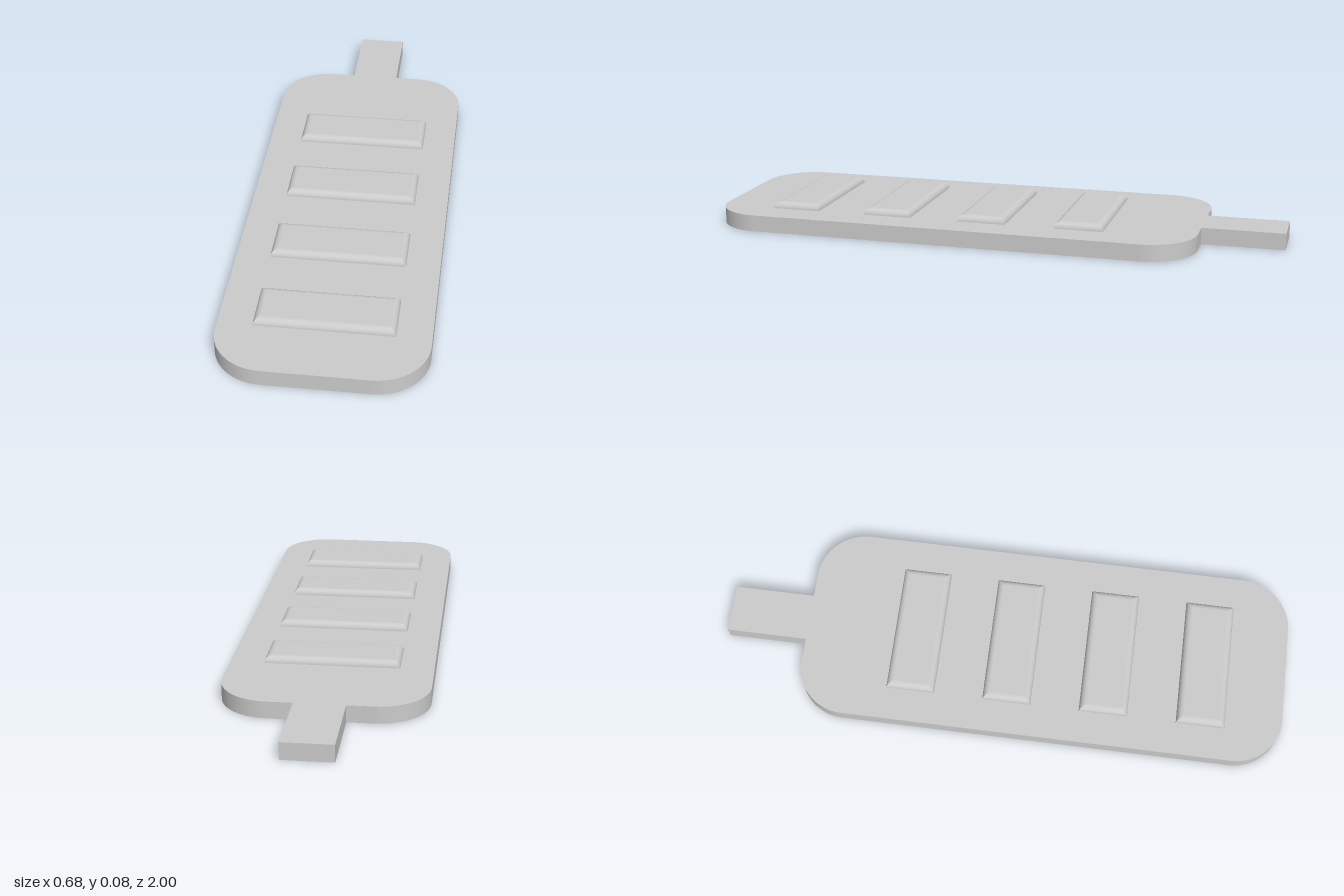
import * as THREE from 'three';

const THICK = 0.058; // plate thickness
const material = new THREE.MeshStandardMaterial({ color: 0xcccccc });

// Rounded plate and its narrow rear tab as one outline (shape y = -z)
function plateGeometry() {
  const w = 0.342, r = 0.171, front = -1, back = 0.715, tab = 0.084;
  const s = new THREE.Shape();
  s.moveTo(-w + r, front);
  s.lineTo(w - r, front);
  s.absarc(w - r, front + r, r, -Math.PI / 2, 0);
  s.lineTo(w, back - r);
  s.absarc(w - r, back - r, r, 0, Math.PI / 2);
  s.lineTo(tab, back);
  s.lineTo(tab, 1);
  s.lineTo(-tab, 1);
  s.lineTo(-tab, back);
  s.lineTo(-w + r, back);
  s.absarc(-w + r, back - r, r, Math.PI / 2, Math.PI);
  s.lineTo(-w, front + r);
  s.absarc(-w + r, front + r, r, Math.PI, Math.PI * 1.5);
  return new THREE.ExtrudeGeometry(s, { depth: THICK, bevelEnabled: false, curveSegments: 16 })
    .rotateX(-Math.PI / 2);
}

// Raised pad: a box whose sides curve inward as a quarter round, mitred at the corners
function padGeometry(width, height, depth) {
  const g = new THREE.BoxGeometry(width, 1, depth, 1, 8, 1);
  const p = g.attributes.position;
  for (let i = 0; i < p.count; i++) {
    const a = (p.getY(i) + 0.5) * Math.PI / 2;
    const inset = height * (1 - Math.cos(a));
    p.setXYZ(i,
      Math.sign(p.getX(i)) * (width / 2 - inset),
      height * Math.sin(a),
      Math.sign(p.getZ(i)) * (depth / 2 - inset));
  }
  g.computeVertexNormals();
  return g;
}

export function createModel() {
  const model = new THREE.Group();
  model.name = 'paddedPlate';

  const plate = new THREE.Mesh(plateGeometry(), material);
  plate.name = 'plateWithTab';
  model.add(plate);

  // Four evenly spaced pads along the plate
  const pad = padGeometry(0.456, 0.023, 0.171);
  for (let i = 0; i < 4; i++) {
    const mesh = new THREE.Mesh(pad, material);
    mesh.name = `pad${i + 1}`;
    mesh.position.set(0, THICK, -0.315 + i * 0.343);
    model.add(mesh);
  }
  return model;
}
